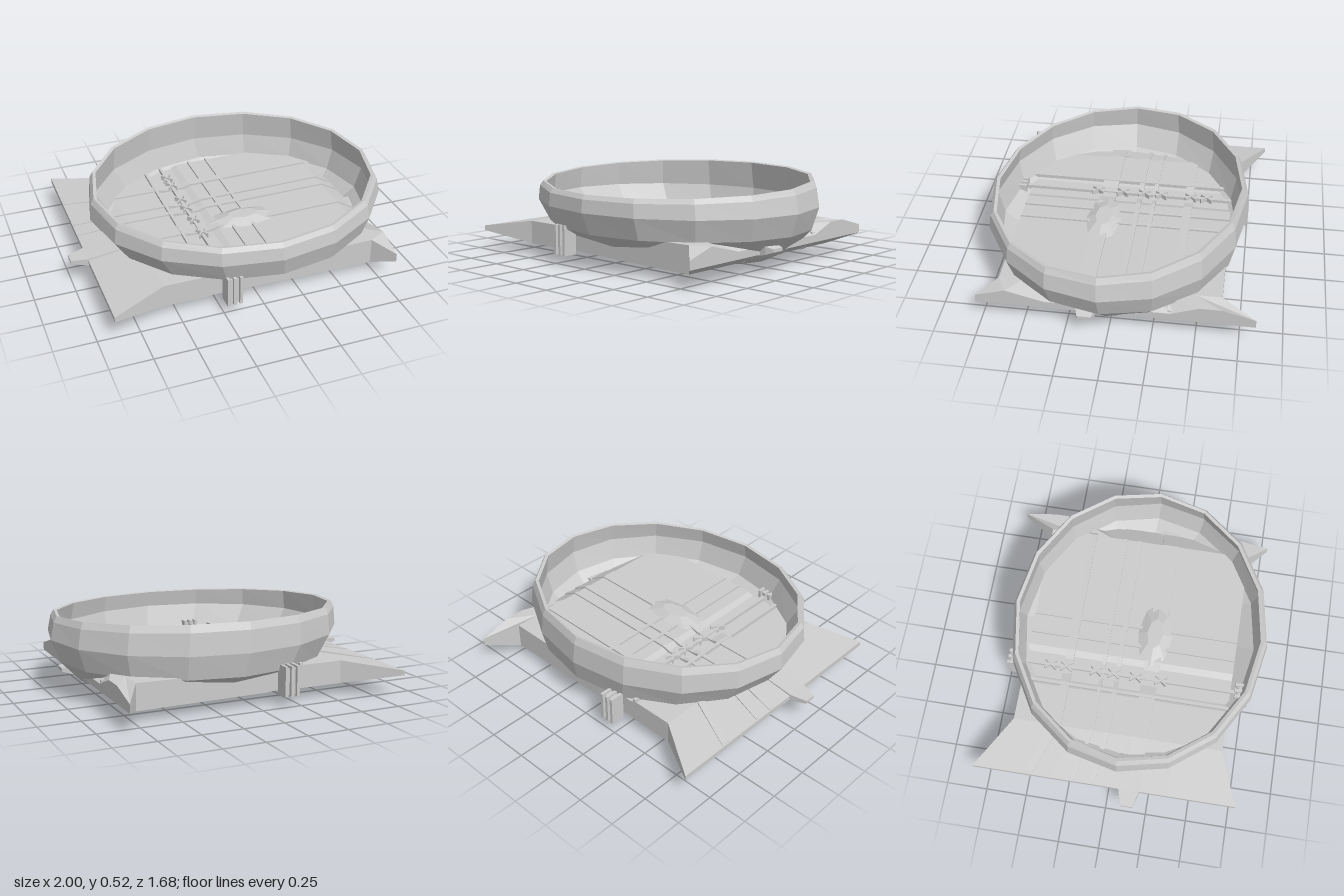
import * as THREE from 'three';

const material = new THREE.MeshStandardMaterial({ color: 0xcccccc, flatShading: true, side: THREE.DoubleSide });

function add(parent, geometry, name, x = 0, y = 0, z = 0) {
  const mesh = new THREE.Mesh(geometry, material);
  mesh.name = name;
  mesh.position.set(x, y, z);
  parent.add(mesh);
  return mesh;
}

// Skin a row of closed loops; optional caps join the two halves of the end loops.
function skin(loops, capped) {
  const n = loops[0].length, index = [];
  const quad = (a, b, c, d) => index.push(a, b, c, a, c, d);
  for (let i = 0; i < loops.length - 1; i++) {
    for (let j = 0; j < n; j++) {
      const k = (j + 1) % n;
      quad(i * n + j, (i + 1) * n + j, (i + 1) * n + k, i * n + k);
    }
  }
  if (capped) {
    const e = (loops.length - 1) * n;
    for (let k = 0; k < n / 2 - 1; k++) {
      quad(k, k + 1, n - 2 - k, n - 1 - k);
      quad(e + k, e + n - 1 - k, e + n - 2 - k, e + k + 1);
    }
  }
  const g = new THREE.BufferGeometry();
  g.setAttribute('position', new THREE.Float32BufferAttribute(loops.flat(2), 3));
  g.setIndex(index);
  g.computeVertexNormals();
  return g;
}

// Sixteen-sided dish with a tilted rim and an off-centre keel; the deck forms its floor
function dishGeometry() {
  // y, centre x, centre z, radius x, radius z, tilt
  const rings = [
    [0.0, 0.3, 0.0, 0, 0, 0],
    [0.012, 0.3, 0.0, 0.24, 0.17, 0],
    [0.035, 0.24, 0.01, 0.48, 0.34, 0],
    [0.085, 0.17, 0.02, 0.66, 0.55, 0],
    [0.21, 0.1, 0.04, 0.85, 0.755, -0.01],
    [0.345, 0.08, 0.045, 0.92, 0.795, 0],
    [0.45, 0.075, 0.045, 0.905, 0.785, 0.035],
    [0.485, 0.075, 0.045, 0.885, 0.765, 0.048],
    [0.48, 0.075, 0.045, 0.865, 0.745, 0.048],
    [0.345, 0.08, 0.045, 0.885, 0.765, 0],
    [0.21, 0.1, 0.04, 0.825, 0.73, 0],
    [0.1, 0.16, 0.02, 0.65, 0.55, 0],
  ];
  return skin(rings.map(([y, cx, cz, rx, rz, tilt]) =>
    Array.from({ length: 16 }, (_, j) => {
      const a = j * Math.PI / 8, z = cz + rz * Math.sin(a);
      return [cx + rx * Math.cos(a), y - tilt * (z - cz), z];
    })));
}

// Flat slab with bevelled sides and flared, thinning corners
function deckGeometry() {
  // x, back z, front z, raised top, low top, underside
  const stations = [
    [-0.9, -0.84, 0.78, 0.16, 0.16, 0.13],
    [-0.58, -0.64, 0.66, 0.21, 0.21, 0.07],
    [-0.33, -0.64, 0.66, 0.21, 0.21, 0.07],
    [-0.28, -0.64, 0.66, 0.195, 0.195, 0.075],
    [-0.12, -0.64, 0.66, 0.195, 0.195, 0.075],
    [-0.08, -0.64, 0.66, 0.21, 0.21, 0.07],
    [0.73, -0.64, 0.66, 0.22, 0.22, 0.06],
    [0.84, -0.84, 0.78, 0.22, 0.16, 0.115],
  ];
  const across = [[0, 0.1], [0.12, 1], [0.2, 1], [0.3, 0], [0.5, 0], [0.75, 0], [0.89, 1], [1, 0.1]];
  return skin(stations.map(([x, back, front, high, low, under]) => {
    const row = across.map(([t, w]) => [x, low + (high - low) * w, back + (front - back) * t]);
    return [...row.slice().reverse(), ...row.map(([, , z]) => [x, under, z])];
  }), true);
}

// Beam along x from rectangular sections: x, low y, high y, centre z, half width
function beam(sections) {
  return skin(sections.map(([x, low, high, z, half]) =>
    [[x, high, z + half], [x, high, z - half], [x, low, z - half], [x, low, z + half]]), true);
}

export function createModel() {
  const model = new THREE.Group();
  model.name = 'dishOnDeck';
  add(model, dishGeometry(), 'dish');
  add(model, deckGeometry(), 'deck');

  // Ribs across the deck, running down the bevels: z, half width, z at the right-hand edge
  const ribs = new THREE.Group();
  ribs.name = 'crossRibs';
  model.add(ribs);
  for (const [z, half, edge] of [[-0.37, 0.027, -0.5], [-0.15, 0.012, -0.22], [-0.055, 0.015, -0.1], [0.15, 0.05, 0.13]]) {
    add(ribs, beam([
      [-0.89, 0.125, 0.165, edge, half], [-0.58, 0.062, 0.219, z, half], [-0.3, 0.065, 0.219, z, half],
      [-0.24, 0.07, 0.207, z, half], [-0.14, 0.07, 0.207, z, half], [-0.08, 0.065, 0.222, z, half],
      [0.73, 0.056, 0.229, z, half], [0.83, 0.11, 0.175, z, half * 1.3],
    ]), 'crossRib');
  }

  // Narrow rails from back to front
  for (const x of [-0.31, 0.01, 0.135]) {
    add(model, new THREE.BoxGeometry(0.02, 0.03, 1.3), 'deckRail', x, 0.208, 0.01);
  }

  // Low hump in the middle
  const hump = add(model, new THREE.CylinderGeometry(0.1, 0.22, 0.03, 8), 'centreHump', 0.1, 0.23, 0.14);
  hump.scale.z = 0.5;

  // Spine with small crossed fins
  const spine = new THREE.Group();
  spine.name = 'spine';
  model.add(spine);
  add(spine, new THREE.BoxGeometry(0.02, 0.03, 1.36), 'spineBar', -0.195, 0.2, 0.01);
  for (const z of [-0.48, -0.38, -0.19, -0.08, 0.06, 0.22]) {
    for (const turn of [0.9, 2.24]) {
      const fin = add(spine, new THREE.BoxGeometry(0.09, 0.035, 0.01), 'spineFin', -0.195, 0.208, z);
      fin.rotation.y = turn;
    }
  }

  // Finned posts at both ends of the spine
  for (const z of [-0.705, 0.73]) {
    const post = new THREE.Group();
    post.name = 'finnedPost';
    post.position.set(-0.19, 0, z);
    model.add(post);
    add(post, new THREE.BoxGeometry(0.08, 0.16, 0.05), 'postCore', 0, 0.145, 0);
    for (const x of [-0.038, 0, 0.038]) {
      add(post, new THREE.BoxGeometry(0.018, 0.18, 0.09), 'postFin', x, 0.15, 0);
    }
  }

  // Side tabs
  add(model, beam([[0.8, 0.1, 0.17, 0.13, 0.055], [0.88, 0.12, 0.165, 0.13, 0.055],
    [0.925, 0.135, 0.155, 0.13, 0.04]]), 'leftTab');
  add(model, beam([[-1, 0.14, 0.16, 0.13, 0.035], [-0.9, 0.125, 0.17, 0.13, 0.065],
    [-0.6, 0.07, 0.21, 0.13, 0.065]]), 'rightTab');
  return model;
}
